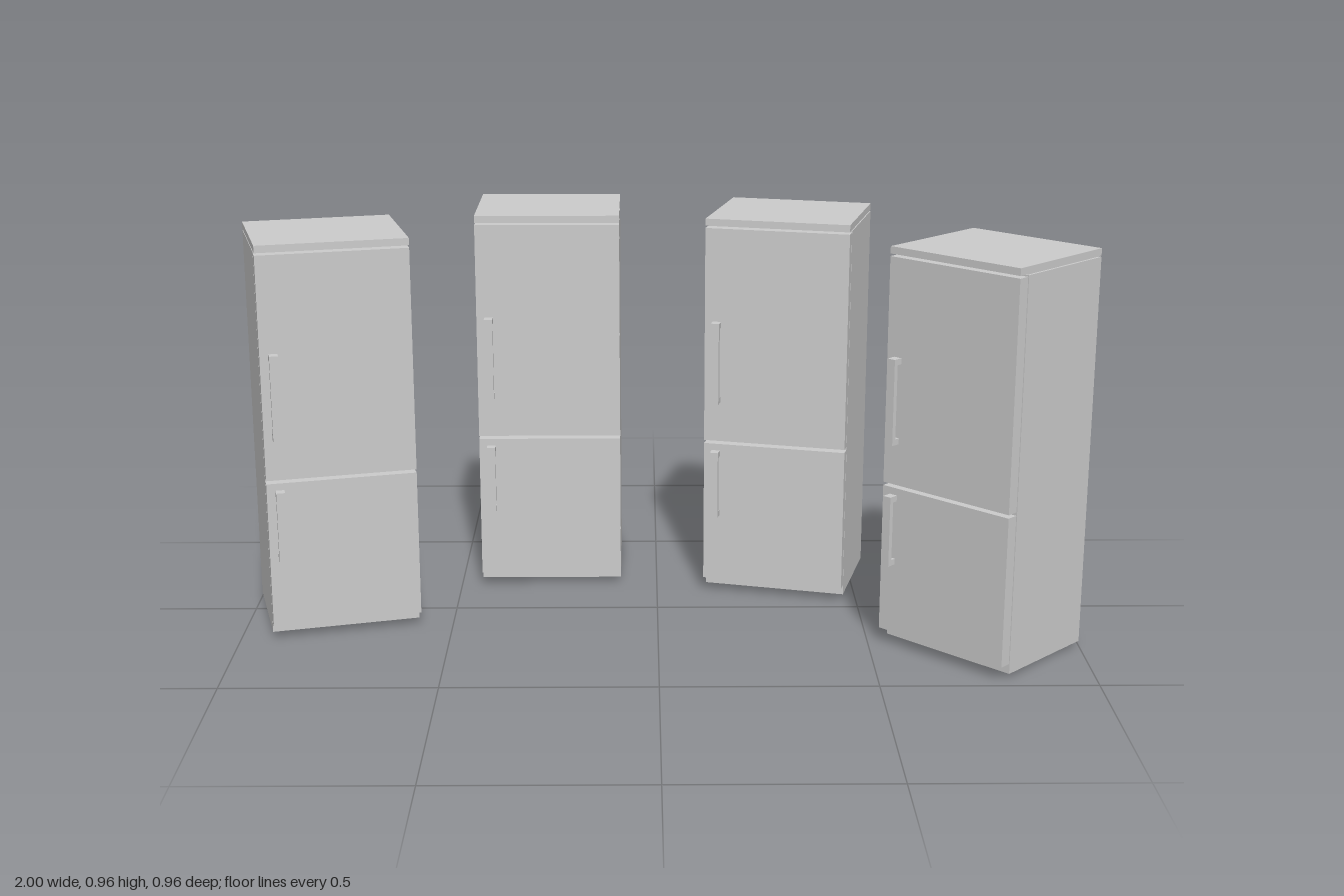
import * as THREE from 'three';

const W = 0.355, D = 0.315;            // overall width and depth of one fridge
const BODY_D = 0.283, DOOR_T = 0.029;  // cabinet depth and door thickness
const FRONT = D / 2;

const material = new THREE.MeshStandardMaterial({ color: 0xcccccc });

function add(parent, name, geometry, x, y, z) {
  const mesh = new THREE.Mesh(geometry, material);
  mesh.name = name;
  mesh.position.set(x, y, z);
  parent.add(mesh);
  return mesh;
}

// Box given by its width, bottom, top, back and front
function slab(parent, name, w, y0, y1, z0, z1, x = 0) {
  return add(parent, name, new THREE.BoxGeometry(w, y1 - y0, z1 - z0), x, (y0 + y1) / 2, (z0 + z1) / 2);
}

// Bracket-shaped pull: one upright bar on two short posts
function makeHandle(name, y0, y1) {
  const handle = new THREE.Group();
  handle.name = name;
  const x = -0.147, w = 0.021;
  slab(handle, 'handleBar', w, y0, y1, FRONT + 0.013, FRONT + 0.024, x);
  slab(handle, 'handleLowerPost', w, y0, y0 + 0.014, FRONT - 0.001, FRONT + 0.013, x);
  slab(handle, 'handleUpperPost', w, y1 - 0.014, y1, FRONT - 0.001, FRONT + 0.013, x);
  return handle;
}

function makeFridge() {
  const fridge = new THREE.Group();
  fridge.name = 'fridge';
  const back = -D / 2;

  // Cabinet, with a thin shadow gap below the top panel
  slab(fridge, 'cabinet', W, 0.01, 0.94, back, back + BODY_D);
  slab(fridge, 'topSpacer', W - 0.012, 0.94, 0.943, back + 0.006, back + BODY_D - 0.006);
  slab(fridge, 'topPanel', W, 0.943, 0.96, back, FRONT);

  // Doors, set off from the cabinet by recessed seals
  const doors = [
    ['freezer', 0.035, 0.392, 0.205, 0.375],
    ['upper', 0.4, 0.937, 0.5, 0.705],
  ];
  for (const [name, y0, y1, h0, h1] of doors) {
    slab(fridge, name + 'Door', W, y0, y1, FRONT - DOOR_T, FRONT);
    slab(fridge, name + 'Seal', W - 0.014, y0 + 0.007, y1 - 0.007, back + BODY_D, FRONT - DOOR_T);
    fridge.add(makeHandle(name + 'Handle', h0, h1));
  }

  // Feet
  for (const x of [-0.147, 0.147])
    for (const z of [-0.13, 0.075])
      add(fridge, 'foot', new THREE.CylinderGeometry(0.02, 0.018, 0.01, 20), x, 0.005, z);

  return fridge;
}

export function createModel() {
  const model = new THREE.Group();
  model.name = 'fridges';
  // x, z and turn in degrees of each fridge along the arc
  const places = [
    [-0.788, 0.0145, 15],
    [-0.27, -0.32, 0],
    [0.33, -0.228, -15],
    [0.764, 0.2415, -45],
  ];
  for (const [x, z, turn] of places) {
    const fridge = makeFridge();
    fridge.position.set(x, 0, z);
    fridge.rotation.y = THREE.MathUtils.degToRad(turn);
    model.add(fridge);
  }
  return model;
}
